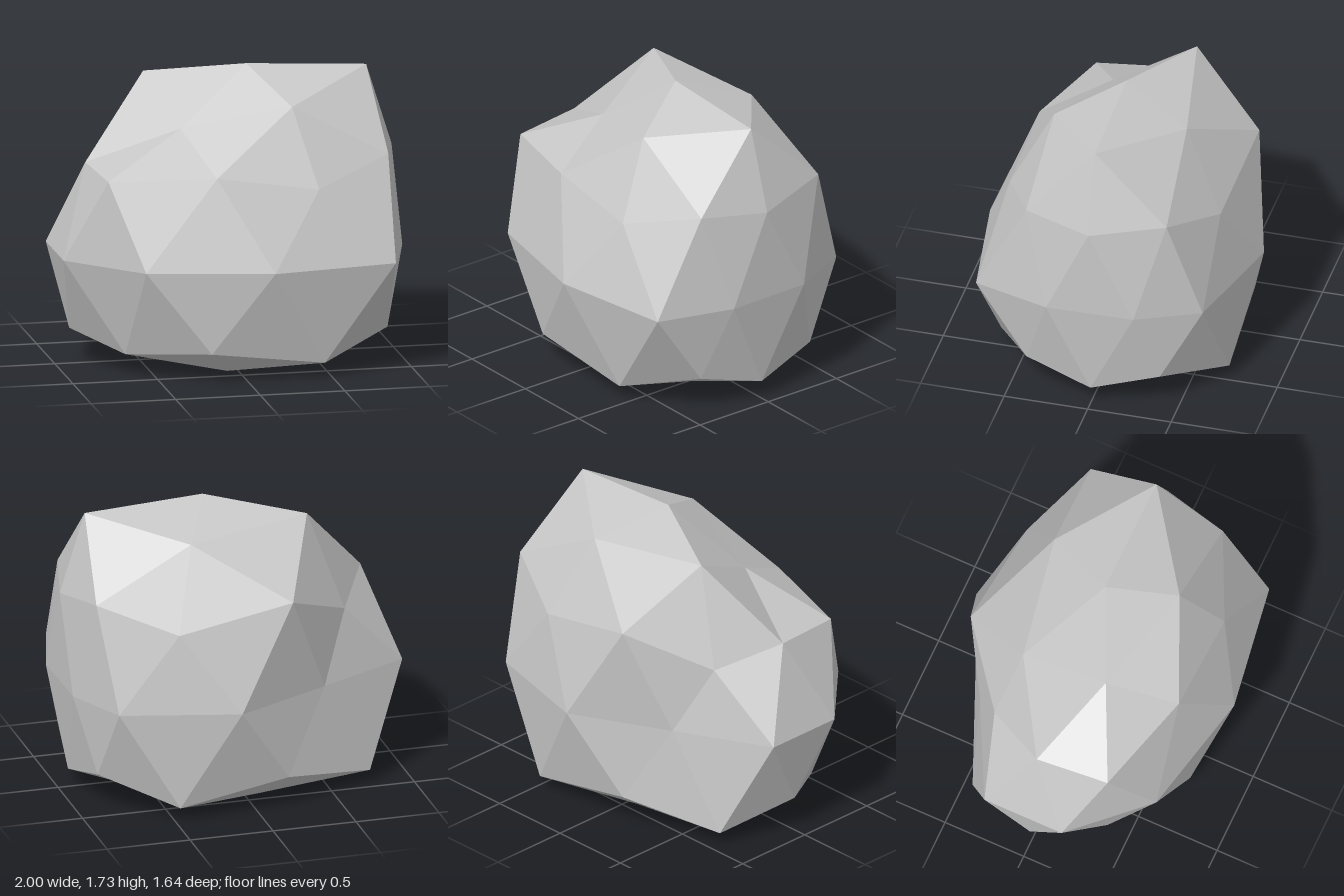
import * as THREE from 'three';

// Cross-sections of the boulder, each running from +x round through +z.
const topPole = [0.13, 1.73, 0];
const crown = [
  [0.84, 1.69, 0], [0.32, 1.55, 0.385], [-0.3, 1.41, 0.2], [-0.42, 1.65, -0.27], [0.32, 1.59, -0.41],
];
const shoulder = [
  [0.99, 1.21, 0], [0.885, 1.25, 0.4], [0.43, 1.11, 0.62], [-0.17, 1.2, 0.605], [-0.775, 1.17, 0.43],
  [-0.82, 1.19, 0], [-0.62, 1.07, -0.36], [-0.21, 1.28, -0.7], [0.46, 1.13, -0.65], [0.9, 1.29, -0.445],
];
// The widest ring is level, so only x and z are listed.
const waist = [
  [1, 0.25], [0.865, 0.705], [0.13, 0.82], [-0.6, 0.66], [-1, 0.24],
  [-1, -0.25], [-0.45, -0.53], [0.13, -0.82], [0.82, -0.64], [0.99, -0.27],
].map(([x, z]) => [x, 0.67, z]);
const foot = [
  [0.94, 0.11, 0], [0.88, 0.22, 0.4], [0.455, 0.09, 0.665], [-0.22, 0.18, 0.7], [-0.665, 0.13, 0.38],
  [-0.915, 0.21, 0], [-0.75, 0.08, -0.44], [-0.19, 0.19, -0.68], [0.47, 0.08, -0.705], [0.88, 0.22, -0.4],
];
const base = [
  [0.6, 0.05, 0.23], [-0.08, 0.02, 0.46], [-0.54, 0.03, 0], [-0.08, 0.02, -0.46], [0.6, 0.05, -0.23],
];
const bottomPole = [0.13, 0, 0];

function boulderGeometry() {
  const positions = [];
  const at = (ring, i) => ring[(i + ring.length) % ring.length];
  const tri = (a, b, c) => positions.push(...a, ...b, ...c);

  // Two bands of alternating triangles around the waist
  for (let i = 0; i < 10; i++) {
    const before = at(waist, i - 1), here = waist[i];
    tri(shoulder[i], here, before);
    tri(shoulder[i], at(shoulder, i + 1), here);
    tri(foot[i], before, here);
    tri(foot[i], here, at(foot, i + 1));
  }

  // Cap of twenty triangles: pole, five-point ring, ten-point ring
  const cap = (pole, inner, outer, offset, face) => {
    for (let k = 0; k < 5; k++) {
      const a = inner[k], b = at(inner, k + 1), j = 2 * k + offset;
      face(pole, b, a);
      face(a, b, at(outer, j + 1));
      face(a, at(outer, j + 1), at(outer, j));
      face(b, at(outer, j + 2), at(outer, j + 1));
    }
  };
  cap(topPole, crown, shoulder, 0, tri);
  cap(bottomPole, base, foot, 1, (a, b, c) => tri(a, c, b));

  const geometry = new THREE.BufferGeometry();
  geometry.setAttribute('position', new THREE.Float32BufferAttribute(positions, 3));
  geometry.computeVertexNormals(); // unshared corners give flat facets
  return geometry;
}

export function createModel() {
  const stone = new THREE.MeshStandardMaterial({ color: 0xc7c7c7, flatShading: true });
  stone.name = 'pale stone grey';
  const boulder = new THREE.Mesh(boulderGeometry(), stone);
  boulder.name = 'boulder';
  const group = new THREE.Group();
  group.name = 'rock';
  group.add(boulder);
  return group;
}
